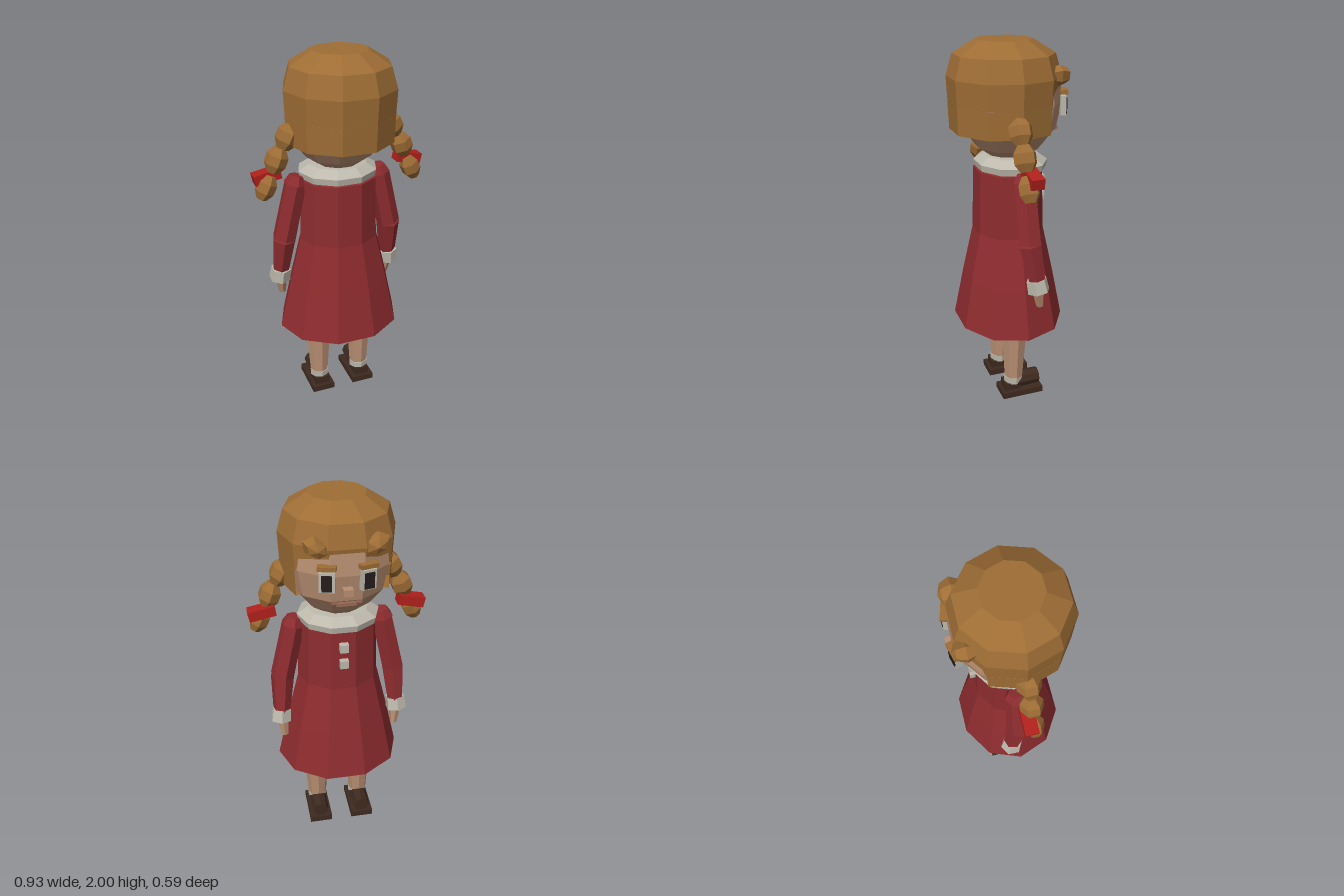
import * as THREE from 'three';

const mat = (name, color) => {
  const m = new THREE.MeshStandardMaterial({ color, flatShading: true, side: THREE.DoubleSide });
  m.name = name;
  return m;
};

export function createModel() {
  const M = {
    hair: mat('hair brown', 0x9e6d35), skin: mat('skin', 0xb98f72), red: mat('dress red', 0x8e2c2f),
    white: mat('off white', 0xbdb9ad), shoe: mat('shoe brown', 0x3e2a20), ribbon: mat('ribbon red', 0xb0201c),
    dark: mat('pupil dark', 0x241e1c), lip: mat('lip', 0x9a6a55),
  };
  const model = new THREE.Group();
  const D = Math.PI / 180;

  const add = (name, geo, material, parent = model) => {
    const m = new THREE.Mesh(geo, material);
    m.name = name;
    parent.add(m);
    return m;
  };
  // ten-sided turned part with a flat side facing front and back
  const lathe = (pts, from = 18, segs = 10) =>
    new THREE.LatheGeometry(pts.map(p => new THREE.Vector2(...p)), segs, from * D, segs * 36 * D);
  // tapered prism between two points
  const limb = (name, a, b, ra, rb, material, parent, sides = 6) => {
    const A = new THREE.Vector3(...a), B = new THREE.Vector3(...b);
    const m = add(name, new THREE.CylinderGeometry(rb, ra, A.distanceTo(B), sides), material, parent);
    m.position.copy(A).lerp(B, 0.5);
    m.quaternion.setFromUnitVectors(new THREE.Vector3(0, 1, 0), B.sub(A).normalize());
    return m;
  };
  const box = (name, w, h, d, x, y, z, material, parent) => {
    const m = add(name, new THREE.BoxGeometry(w, h, d), material, parent);
    m.position.set(x, y, z);
    return m;
  };

  // head and neck
  add('head', lathe([[0, 1.39], [0.09, 1.4], [0.175, 1.46], [0.245, 1.55], [0.272, 1.69], [0.26, 1.82], [0, 1.9]]), M.skin)
    .position.z = -0.012;
  limb('neck', [0, 1.33, 0], [0, 1.45, 0], 0.1, 0.1, M.skin, model, 10);

  // hair cap, with the fringe lifted over the face
  const cap = lathe([[0.287, 1.69], [0.293, 1.82], [0.26, 1.93], [0.145, 2], [0, 2]]);
  const p = cap.attributes.position;
  for (let i = 0; i < p.count; i++) if (p.getY(i) < 1.7 && p.getZ(i) < -0.2) p.setY(i, 1.775);
  add('hairCap', cap, M.hair).position.z = 0.015;
  add('hairSides', lathe([[0.2, 1.55], [0.283, 1.55], [0.288, 1.69]], -126, 7), M.hair).position.z = 0.015;

  // dress
  const dress = add('dress', lathe([[0, 0.465], [0.345, 0.465], [0.285, 0.73], [0.218, 1], [0.207, 1.34], [0.1, 1.37]]), M.red);
  dress.scale.z = 0.87;
  dress.position.z = -0.005;
  const collar = add('collar', lathe([[0.16, 1.34], [0.208, 1.345], [0.215, 1.38], [0.16, 1.415], [0.1, 1.42]]), M.white);
  collar.scale.z = 0.9;
  collar.position.z = -0.02;
  for (const y of [1.255, 1.16]) box('button', 0.045, 0.045, 0.035, 0, y, -0.193, M.white);

  // nose and mouth
  box('nose', 0.048, 0.035, 0.045, 0, 1.615, -0.275, M.skin);
  box('mouth', 0.1, 0.018, 0.03, 0, 1.535, -0.24, M.lip);

  for (const s of [1, -1]) {
    const side = new THREE.Group();
    side.name = s > 0 ? 'leftSide' : 'rightSide';
    model.add(side);

    // eye, brow, mouth corner and forehead curl
    const eye = new THREE.Group();
    eye.name = 'eye';
    eye.position.set(s * 0.097, 1.67, -0.268);
    eye.rotation.y = s * -0.25;
    side.add(eye);
    box('eyeWhite', 0.075, 0.1, 0.03, 0, 0, 0, M.white, eye);
    box('pupil', 0.05, 0.08, 0.008, 0, -0.003, -0.018, M.dark, eye);
    box('brow', 0.09, 0.022, 0.04, 0, 0.07, -0.002, M.hair, eye);
    box('mouthCorner', 0.03, 0.018, 0.03, s * 0.06, 1.548, -0.24, M.lip, side);
    const curl = add('curl', new THREE.SphereGeometry(0.068, 6, 4), M.hair, side);
    curl.position.set(s * 0.14, 1.825, -0.222);
    curl.scale.set(1.05, 0.95, 0.75);
    curl.rotation.set(Math.PI / 2, 0, s * 0.5, 'ZYX');

    // braid of tapered beads, tied with a ribbon
    const beads = [[0.25, 1.655, 0.31, 1.535, 0.06], [0.32, 1.54, 0.367, 1.42, 0.058], [0.375, 1.4, 0.43, 1.285, 0.052]];
    for (const [x0, y0, x1, y1, r] of beads) {
      const b = add('braidBead', new THREE.LatheGeometry(
        [[0, -0.066], [r * 0.55, -0.066], [r, -0.025], [r, 0.025], [r * 0.55, 0.066], [0, 0.066]]
          .map(q => new THREE.Vector2(...q)), 6), M.hair, side);
      b.position.set(s * (x0 + x1) / 2, (y0 + y1) / 2, 0.028);
      b.rotation.z = s * Math.atan2(x1 - x0, y0 - y1);
    }
    box('ribbon', 0.14, 0.055, 0.068, s * 0.392, 1.395, 0.005, M.ribbon, side).rotation.z = s * -0.2;

    // arm
    const shoulder = [s * 0.235, 1.32, -0.015], elbow = [s * 0.305, 1.01, -0.02], wrist = [s * 0.322, 0.79, -0.058];
    limb('shoulder', [s * 0.225, 1.365, -0.015], shoulder, 0.04, 0.062, M.red, side);
    limb('upperSleeve', shoulder, elbow, 0.06, 0.064, M.red, side);
    limb('lowerSleeve', elbow, wrist, 0.064, 0.046, M.red, side);
    limb('cuff', [s * 0.321, 0.815, -0.05], [s * 0.328, 0.745, -0.062], 0.055, 0.06, M.white, side);
    limb('hand', [s * 0.322, 0.76, -0.06], [s * 0.312, 0.65, -0.077], 0.036, 0.02, M.skin, side);

    // leg, sock and shoe
    limb('leg', [s * 0.125, 0.08, 0.003], [s * 0.125, 0.5, -0.003], 0.052, 0.08, M.skin, side, 8);
    limb('sock', [s * 0.125, 0.075, 0.005], [s * 0.125, 0.115, 0.005], 0.054, 0.056, M.white, side, 8);
    box('sole', 0.13, 0.036, 0.24, s * 0.125, 0.018, -0.035, M.shoe, side);
    box('heel', 0.085, 0.05, 0.09, s * 0.125, 0.055, 0.02, M.shoe, side);
    limb('shoeUpper', [s * 0.125, 0.078, 0.0], [s * 0.125, 0.078, -0.143], 0.05, 0.046, M.shoe, side, 8);
  }
  return model;
}
